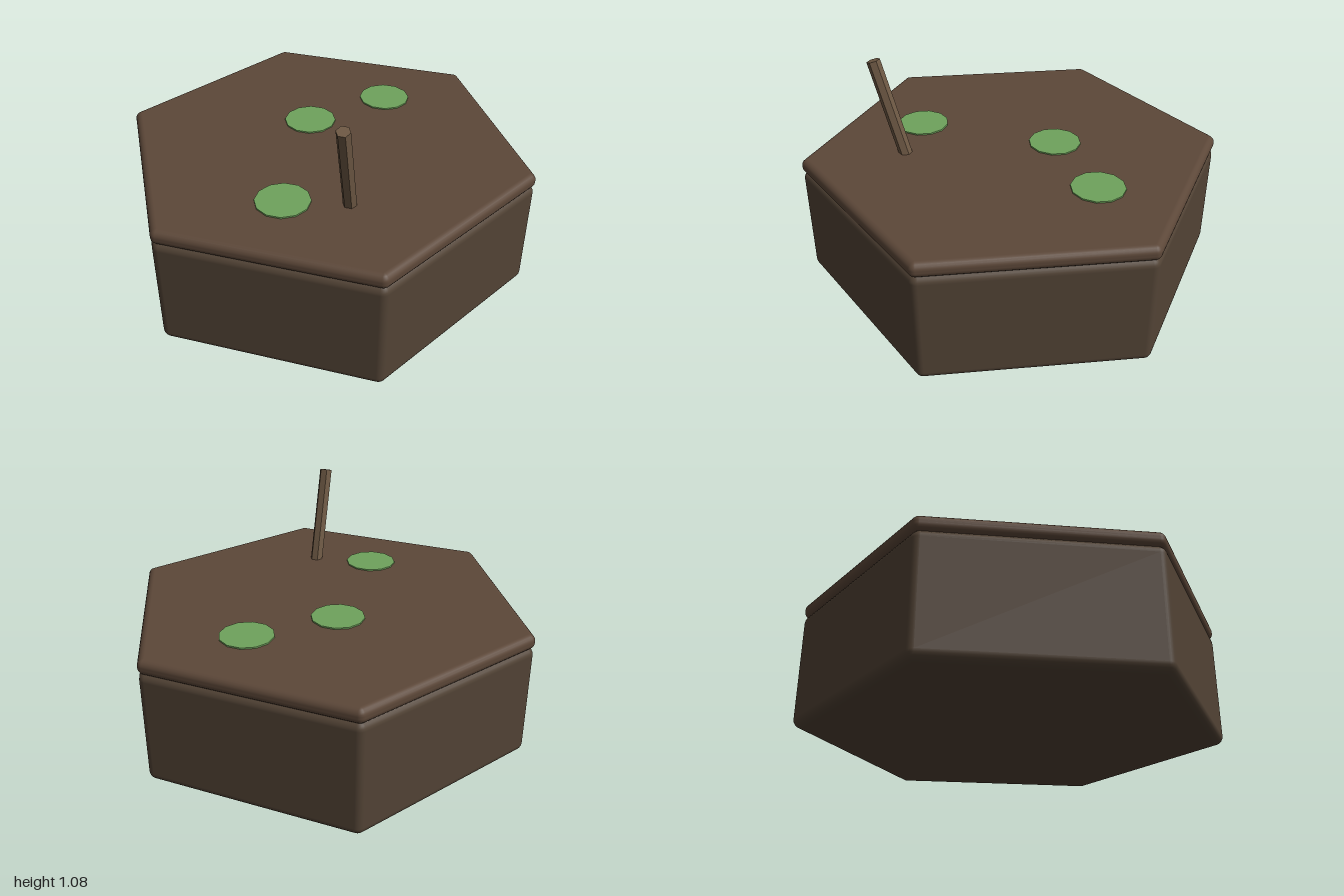
import * as THREE from 'three';

const material = (color, flatShading = false) => new THREE.MeshStandardMaterial({ color, flatShading });

// Hexagonal slab with every edge and corner rounded by radius r; flat is the half width across flats
function roundedHex(flat, y0, y1, r, steps = 5) {
  const pos = [], nor = [], idx = [];
  const R = (flat - r) / Math.cos(Math.PI / 6);
  const cols = 6 * (steps + 1), rows = 2 * (steps + 1);
  for (let j = 0; j < rows; j++) {
    const upper = j > steps;
    const lat = (upper ? j - steps - 1 : j - steps) / steps * Math.PI / 2;
    const y = upper ? y1 - r : y0 + r;
    for (let c = 0; c < 6; c++) {
      const corner = c * Math.PI / 3;
      for (let k = 0; k <= steps; k++) {
        const a = corner + (k / steps - 0.5) * Math.PI / 3;
        const n = [Math.sin(a) * Math.cos(lat), Math.sin(lat), Math.cos(a) * Math.cos(lat)];
        pos.push(R * Math.sin(corner) + n[0] * r, y + n[1] * r, R * Math.cos(corner) + n[2] * r);
        nor.push(...n);
      }
    }
  }
  for (let j = 0; j < rows - 1; j++) {
    for (let i = 0; i < cols; i++) {
      const a = j * cols + i, b = j * cols + (i + 1) % cols;
      idx.push(a, b, b + cols, a, b + cols, a + cols);
    }
  }
  // Bottom and top faces
  const bottom = pos.length / 3, top = bottom + 1, last = (rows - 1) * cols;
  pos.push(0, y0, 0, 0, y1, 0);
  nor.push(0, -1, 0, 0, 1, 0);
  for (let i = 0; i < cols; i++) {
    const n = (i + 1) % cols;
    idx.push(bottom, n, i, top, last + i, last + n);
  }
  const g = new THREE.BufferGeometry();
  g.setAttribute('position', new THREE.Float32BufferAttribute(pos, 3));
  g.setAttribute('normal', new THREE.Float32BufferAttribute(nor, 3));
  g.setIndex(idx);
  return g;
}

export function createModel() {
  const group = new THREE.Group();
  const add = (name, geometry, mat) => {
    const mesh = new THREE.Mesh(geometry, mat);
    mesh.name = name;
    group.add(mesh);
    return mesh;
  };

  // Thick base and thin top layer
  add('base', roundedHex(0.87, 0, 0.555, 0.04), material(0x524335));
  add('topLayer', roundedHex(0.872, 0.545, 0.618, 0.032), material(0x5c4738));

  // Flat green patches
  const green = material(0x6fa35c, true);
  for (const [x, z] of [[-0.092, -0.517], [-0.193, -0.083], [0.22, 0.465]]) {
    const patch = add('greenPatch', new THREE.CylinderGeometry(0.126, 0.126, 0.03, 12), green);
    patch.position.set(x, 0.61, z);
    patch.rotation.y = Math.PI / 12;
  }

  // Leaning stick
  const foot = new THREE.Vector3(0.43, 0.56, 0.255), tip = new THREE.Vector3(0.507, 1.07, 0.386);
  const axis = tip.clone().sub(foot);
  const stick = add('stick', new THREE.CylinderGeometry(0.032, 0.032, axis.length(), 6), material(0x6e5944, true));
  stick.position.copy(foot).add(tip).multiplyScalar(0.5);
  stick.quaternion.setFromUnitVectors(new THREE.Vector3(0, 1, 0), axis.normalize());

  return group;
}
